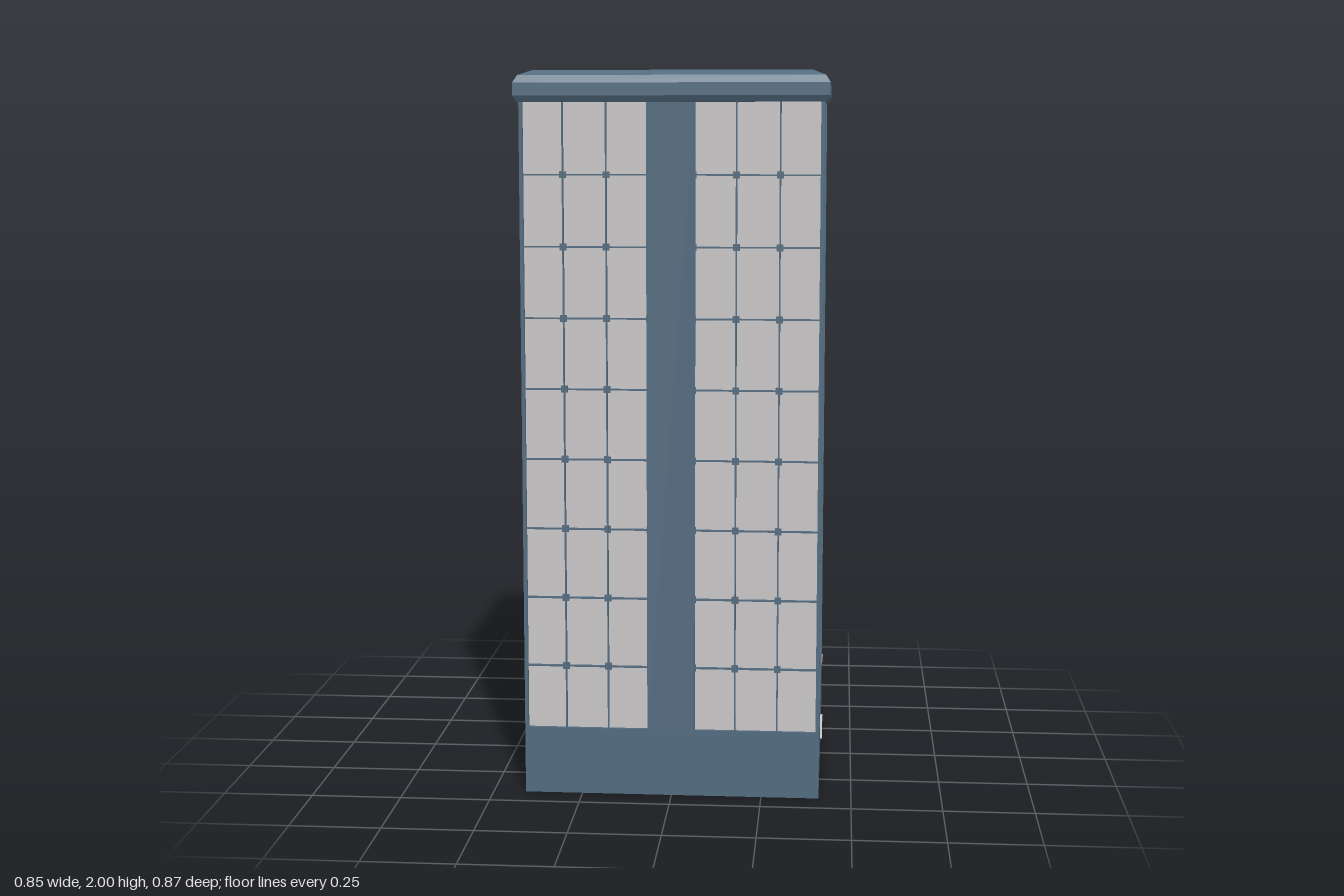
import * as THREE from 'three';
import { mergeGeometries } from 'three/addons/utils/BufferGeometryUtils.js';

const material = (name, color) => {
  const m = new THREE.MeshStandardMaterial({ color });
  m.name = name;
  return m;
};

const H = 0.41;        // half width of the square tower
const PANE = 0.4;      // half width at the glass, behind the fins
const BASE = 0.188;    // top of the ground floor
const TOP = 1.915;     // underside of the roof
const FIN = 0.004;     // fin thickness

// Box given by its extents
function box(x0, x1, y0, y1, z0, z1) {
  return new THREE.BoxGeometry(x1 - x0, y1 - y0, z1 - z0)
    .translate((x0 + x1) / 2, (y0 + y1) / 2, (z0 + z1) / 2);
}

// Stacked square rings [half width, height], closed with a cap at each end
function squareLoft(rings) {
  const pos = [];
  const corner = ([r, y], i) => [i === 0 || i === 3 ? -r : r, y, i < 2 ? r : -r];
  const quad = (a, b, c, d) => pos.push(...a, ...b, ...c, ...a, ...c, ...d);
  for (let k = 0; k < rings.length - 1; k++) {
    for (let i = 0; i < 4; i++) {
      const j = (i + 1) % 4;
      quad(corner(rings[k], i), corner(rings[k], j), corner(rings[k + 1], j), corner(rings[k + 1], i));
    }
  }
  const last = rings[rings.length - 1];
  quad(...[0, 1, 2, 3].map(i => corner(last, i)));
  quad(...[3, 2, 1, 0].map(i => corner(rings[0], i)));
  const g = new THREE.BufferGeometry();
  g.setAttribute('position', new THREE.Float32BufferAttribute(pos, 3));
  g.computeVertexNormals();
  return g;
}

// Grid of projecting fins on one facade, facing +z
function finGrid(columns) {
  const parts = [];
  const floors = [BASE];
  for (let k = 0; k < 9; k++) floors.push(0.365 + k * 0.1938);
  const step = (2 * H) / columns;
  for (let c = 1; c < columns; c++) {
    const x = -H + c * step;
    parts.push(box(x - FIN / 2, x + FIN / 2, BASE, TOP, PANE - 0.002, H));
    // small blocks where the fins cross
    for (const y of floors.slice(1, -1)) {
      parts.push(box(x - 0.009, x + 0.009, y - 0.009, y + 0.009, PANE - 0.002, H - 0.001));
    }
  }
  for (const y of floors.slice(1, -1)) {
    parts.push(box(-H + 0.002, H - 0.002, y - FIN / 2, y + FIN / 2, PANE - 0.002, H));
  }
  return mergeGeometries(parts);
}

export function createModel() {
  const blue = material('slate blue', 0x526b7f);
  const light = material('pale grey', 0xcac6c8);
  const pink = material('dusty pink', 0xc48fa5);

  const model = new THREE.Group();
  model.name = 'towerBlock';
  const tower = new THREE.Group();
  tower.name = 'tower';
  tower.position.z = 0.01;
  model.add(tower);

  const add = (name, geometry, mat) => {
    const mesh = new THREE.Mesh(geometry, mat);
    mesh.name = name;
    tower.add(mesh);
    return mesh;
  };

  // Main volumes
  add('groundFloor', box(-H, H, 0, BASE, -H, H), blue);
  add('windowPanes', box(-PANE, PANE, BASE, TOP, -PANE, PANE), light);
  add('frontStrip', box(-0.067, 0.065, BASE, TOP, PANE - 0.01, H + 0.001), blue);
  add('roof', squareLoft([
    [0.414, TOP], [0.424, 1.932], [0.424, 1.966], [0.412, 1.986], [0.376, 2],
  ]), blue);

  // Fins: seven bays front and back, six on the sides
  ['front', 'left', 'back', 'right'].forEach((side, i) => {
    add(side + 'Fins', finGrid(i % 2 ? 6 : 7), blue).rotation.y = (i * Math.PI) / 2;
  });

  // Corner posts
  for (const sx of [-1, 1]) {
    for (const sz of [-1, 1]) {
      const post = box(-0.005, 0.005, BASE, TOP, -0.005, 0.005);
      add('cornerPost', post.translate(sx * (H - 0.005), 0, sz * (H - 0.005)), blue);
    }
  }

  // Shop front at the back: recessed panels with raised frames beside the door
  for (const s of [-1, 1]) {
    const cx = s * 0.238, w = 0.171;
    add('shopPanel', box(cx - w, cx + w, 0.004, 0.17, -H - 0.007, -H), light);
    const frame = [
      box(cx - w, cx + w, 0, 0.01, -H - 0.017, -H),
      box(cx - w, cx + w, 0.16, 0.17, -H - 0.017, -H),
      box(cx - w, cx - w + 0.01, 0, 0.17, -H - 0.017, -H),
      box(cx + w - 0.01, cx + w, 0, 0.17, -H - 0.017, -H),
    ];
    add('shopFrame', mergeGeometries(frame), light);
  }
  add('backDoor', box(-0.064, 0.064, 0, 0.168, -H - 0.004, -H), blue);
  add('canopy', box(-0.413, 0.413, 0.172, 0.188, -H - 0.034, -H + 0.002), pink);
  add('canopyLip', box(-0.411, 0.411, 0.164, 0.173, -H - 0.024, -H + 0.002), pink);

  // Slanted plate on the side wall
  const shape = new THREE.Shape([
    [-0.037, 0.058], [0.01, 0.05], [0.025, 0.115], [-0.02, 0.125],
  ].map(p => new THREE.Vector2(...p)));
  const plate = add('wallPlate', new THREE.ExtrudeGeometry(shape, { depth: 0.006, bevelEnabled: false }), light);
  plate.rotation.y = Math.PI / 2;
  plate.position.x = H;

  return model;
}
